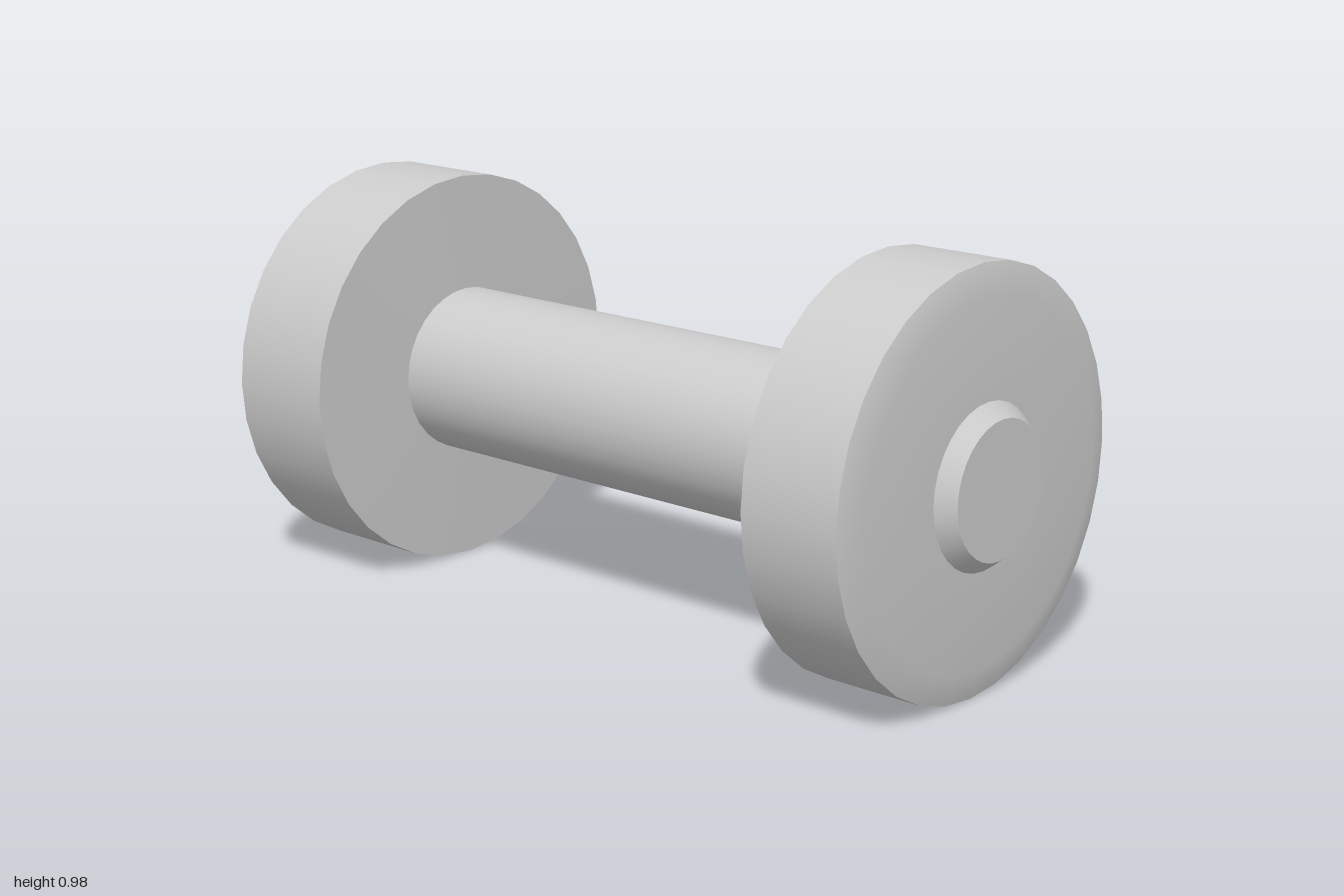
import * as THREE from 'three';

// Each strip is a smooth run of [x, radius] points; strips meet at sharp edges.
const parts = {
  rightCap: [
    [[-1, 0], [-1, 0.197]],
    [[-1, 0.197], [-0.955, 0.21]],
  ],
  rightWeight: [
    [[-0.955, 0.21], [-0.955, 0.45], [-0.932, 0.49]],
    [[-0.932, 0.49], [-0.642, 0.49]],
    [[-0.642, 0.49], [-0.636, 0.205]],
  ],
  handle: [
    [[-0.636, 0.205], [0.64, 0.205]],
  ],
  leftWeight: [
    [[0.64, 0.205], [0.683, 0.305], [0.684, 0.49]],
    [[0.684, 0.49], [0.937, 0.49]],
    [[0.937, 0.49], [0.957, 0.42], [0.96, 0.19]],
  ],
  leftCap: [
    [[0.96, 0.19], [1, 0.159]],
    [[1, 0.159], [1, 0]],
  ],
};

// Turned surface around the x axis
function turned(points, material) {
  const profile = points.map(([x, r]) => new THREE.Vector2(r, x));
  const geometry = new THREE.LatheGeometry(profile, 32);
  geometry.rotateZ(-Math.PI / 2);
  return new THREE.Mesh(geometry, material);
}

export function createModel() {
  const model = new THREE.Group();
  model.name = 'dumbbell';
  const material = new THREE.MeshStandardMaterial({ color: 0xcccccc });

  for (const [name, strips] of Object.entries(parts)) {
    const part = new THREE.Group();
    part.name = name;
    part.position.y = 0.493;
    strips.forEach((points, i) => {
      const mesh = turned(points, material);
      mesh.name = `${name}Surface${i + 1}`;
      part.add(mesh);
    });
    model.add(part);
  }
  return model;
}
